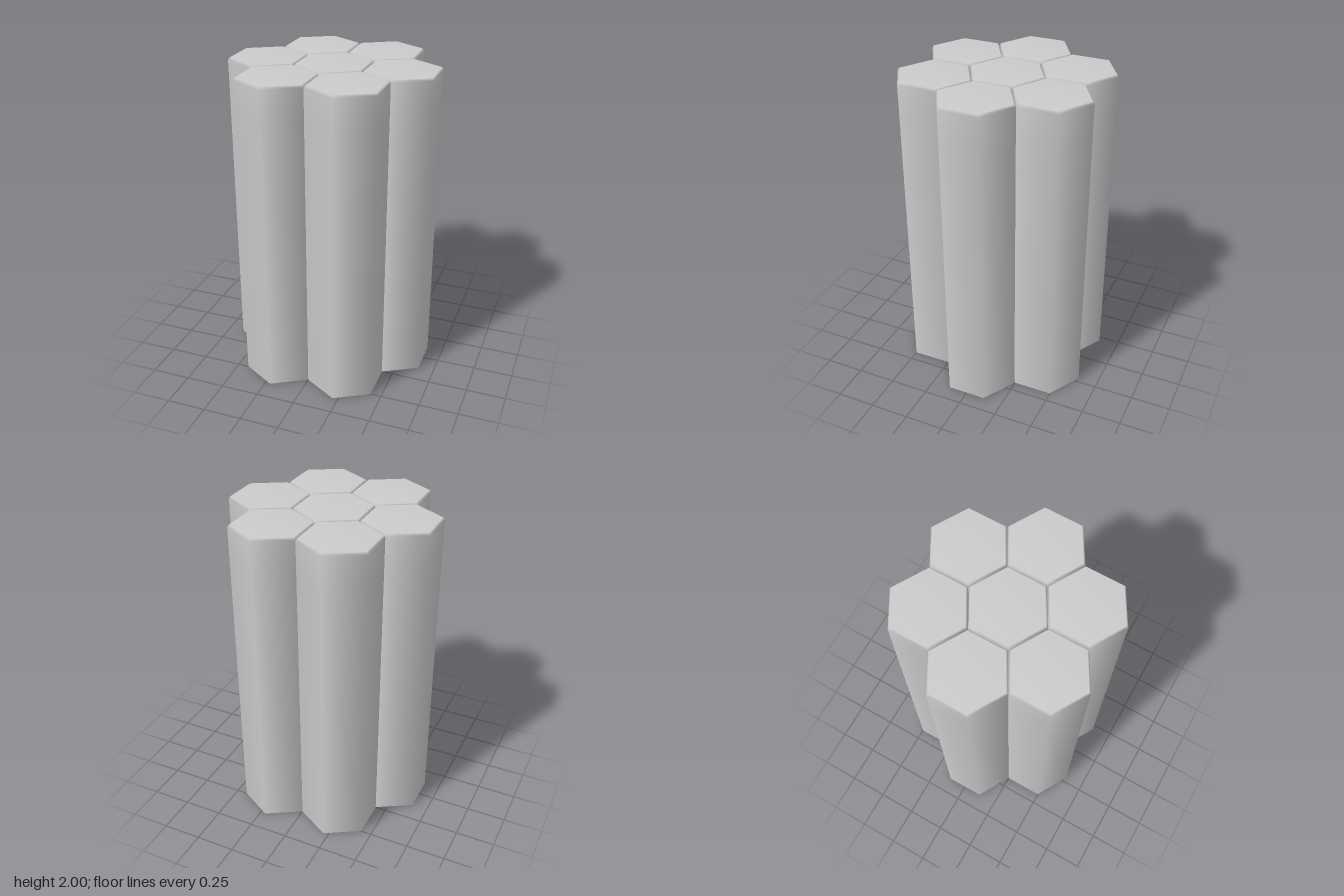
import * as THREE from 'three';

const RADIUS = 0.2475;  // corner radius of one hexagonal column
const SPACING = 0.433;  // centre distance, leaves a hairline gap

export function createModel() {
  const group = new THREE.Group();
  group.name = 'hexagonalColumns';
  const material = new THREE.MeshStandardMaterial({ color: 0xcccccc, side: THREE.DoubleSide });

  // Column: open at the bottom, small softened rim, closed top, smooth normals
  const profile = [
    [RADIUS, 0], [RADIUS, 1.8], [RADIUS, 1.985], [RADIUS - 0.012, 2], [0, 2],
  ].map(([r, y]) => new THREE.Vector2(r, y));
  const geometry = new THREE.LatheGeometry(profile, 6);

  const addColumn = (name, x, z) => {
    const column = new THREE.Mesh(geometry, material);
    column.name = name;
    column.position.set(x, 0, z);
    group.add(column);
  };

  // One centre column ringed by six
  addColumn('centreColumn', 0, 0);
  for (let i = 0; i < 6; i++) {
    const a = (i * Math.PI) / 3;
    addColumn(`outerColumn${i + 1}`, SPACING * Math.cos(a), SPACING * Math.sin(a));
  }
  return group;
}
